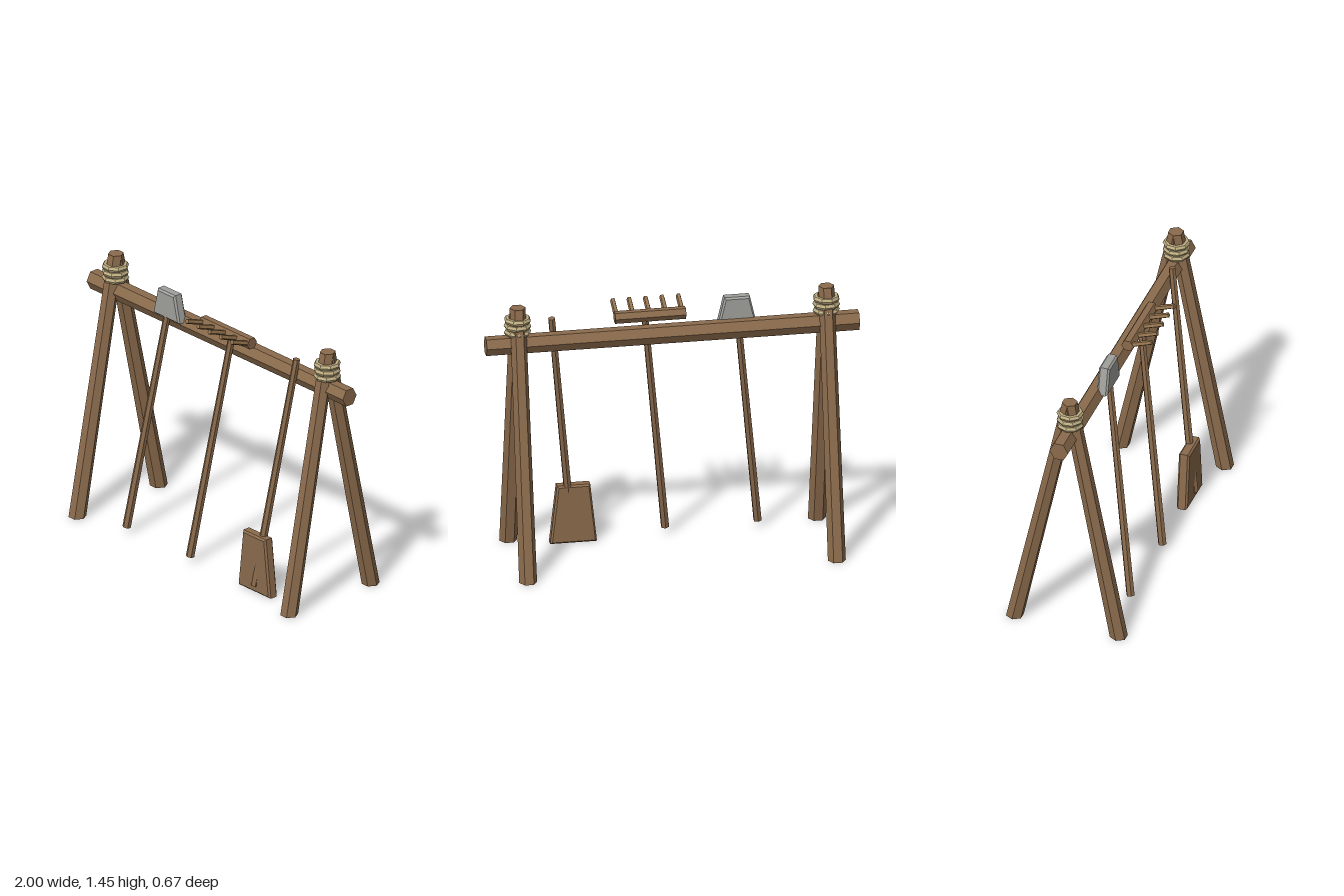
import * as THREE from 'three';

const mat = (name, color) => {
  const m = new THREE.MeshStandardMaterial({ color });
  m.name = name;
  return m;
};

// Faceted normals for the low-poly look
function faceted(geometry) {
  const g = geometry.index ? geometry.toNonIndexed() : geometry;
  g.computeVertexNormals();
  return g;
}

function part(parent, name, geometry, material) {
  const mesh = new THREE.Mesh(faceted(geometry), material);
  mesh.name = name;
  parent.add(mesh);
  return mesh;
}

// Straight pole between two points, ends cut square
function pole(parent, name, from, to, rFrom, rTo, sides, material) {
  const a = new THREE.Vector3(...from), b = new THREE.Vector3(...to);
  const dir = b.clone().sub(a);
  const mesh = part(parent, name, new THREE.CylinderGeometry(rTo, rFrom, dir.length(), sides), material);
  mesh.position.copy(a).add(b).multiplyScalar(0.5);
  mesh.quaternion.setFromUnitVectors(new THREE.Vector3(0, 1, 0), dir.normalize());
  return mesh;
}

// Upright tapered slab with chamfered edges
function slab(parent, name, wBottom, wTop, height, depth, material) {
  const bevel = 0.01;
  const b = wBottom / 2 - bevel, t = wTop / 2 - bevel;
  const shape = new THREE.Shape([
    new THREE.Vector2(-b, bevel), new THREE.Vector2(b, bevel),
    new THREE.Vector2(t, height - bevel), new THREE.Vector2(-t, height - bevel),
  ]);
  const g = new THREE.ExtrudeGeometry(shape, {
    depth: depth - 2 * bevel, bevelEnabled: true, bevelSize: bevel, bevelThickness: bevel, bevelSegments: 1,
  });
  g.translate(0, 0, bevel - depth / 2);
  return part(parent, name, g, material);
}

export function createModel() {
  const model = new THREE.Group();
  model.name = 'toolRack';
  const wood = mat('wood', 0x8b6b4c);
  const paleWood = mat('paleWood', 0x96754f);
  const rope = mat('rope', 0xbfae82);
  const stone = mat('stone', 0xa0a19c);

  // Crossbeam
  const beam = part(model, 'crossbeam', new THREE.CylinderGeometry(0.049, 0.052, 2, 6), wood);
  beam.rotation.z = -Math.PI / 2;
  beam.scale.x = 1.08;
  beam.position.set(0, 1.237, 0.013);

  // A-frame at each end: two leaning legs lashed with rope
  const legHeight = 1.445;
  for (const side of [-1, 1]) {
    const frame = new THREE.Group();
    frame.name = side > 0 ? 'leftFrame' : 'rightFrame';
    frame.position.x = side * 0.828;
    model.add(frame);

    for (const [name, footZ, topZ] of [['frontLeg', 0.288, 0.012], ['backLeg', -0.294, 0.014]]) {
      const g = new THREE.CylinderGeometry(0.042, 0.048, legHeight, 6, 1, false, Math.PI / 2);
      g.translate(0, legHeight / 2, 0);
      const p = g.attributes.position;
      // lean the leg while keeping its foot flat on the ground
      for (let i = 0; i < p.count; i++) {
        p.setZ(i, p.getZ(i) + footZ + (topZ - footZ) * p.getY(i) / legHeight);
      }
      part(frame, name, g, wood);
    }

    for (let i = 0; i < 3; i++) {
      const ring = part(frame, 'ropeRing', new THREE.TorusGeometry(0.057, 0.0165, 6, 8), rope);
      ring.rotation.x = Math.PI / 2;
      ring.rotation.z = i * 0.25;
      ring.position.set(0, 1.307 + i * 0.034, 0.016);
    }
  }

  // Mallet with a stone head
  const mallet = new THREE.Group();
  mallet.name = 'mallet';
  model.add(mallet);
  pole(mallet, 'malletHandle', [-0.5, 0.035, 0.236], [-0.36, 1.3, 0.065], 0.023, 0.019, 6, wood);
  slab(mallet, 'malletHead', 0.205, 0.14, 0.155, 0.06, stone).position.set(-0.355, 1.25, 0.06);

  // Rake with five teeth
  const rake = new THREE.Group();
  rake.name = 'rake';
  model.add(rake);
  pole(rake, 'rakeHandle', [-0.004, 0.035, 0.236], [0.135, 1.31, 0.065], 0.023, 0.019, 6, wood);
  const bar = part(rake, 'rakeBar', new THREE.CylinderGeometry(0.034, 0.034, 0.38, 6), wood);
  bar.rotation.z = Math.PI / 2;
  bar.position.set(0.108, 1.325, 0.068);
  for (let i = 0; i < 5; i++) {
    const x = -0.068 + i * 0.088;
    pole(rake, 'rakeTooth', [x, 1.325, 0.075], [x, 1.37, 0.2], 0.015, 0.014, 5, paleWood);
  }

  // Shovel standing on its blade
  const shovel = new THREE.Group();
  shovel.name = 'shovel';
  model.add(shovel);
  pole(shovel, 'shovelHandle', [0.497, 0.04, 0.234], [0.637, 1.35, 0.06], 0.023, 0.019, 6, wood);
  slab(shovel, 'shovelBlade', 0.25, 0.18, 0.33, 0.06, wood).position.set(0.495, 0, 0.209);

  return model;
}
